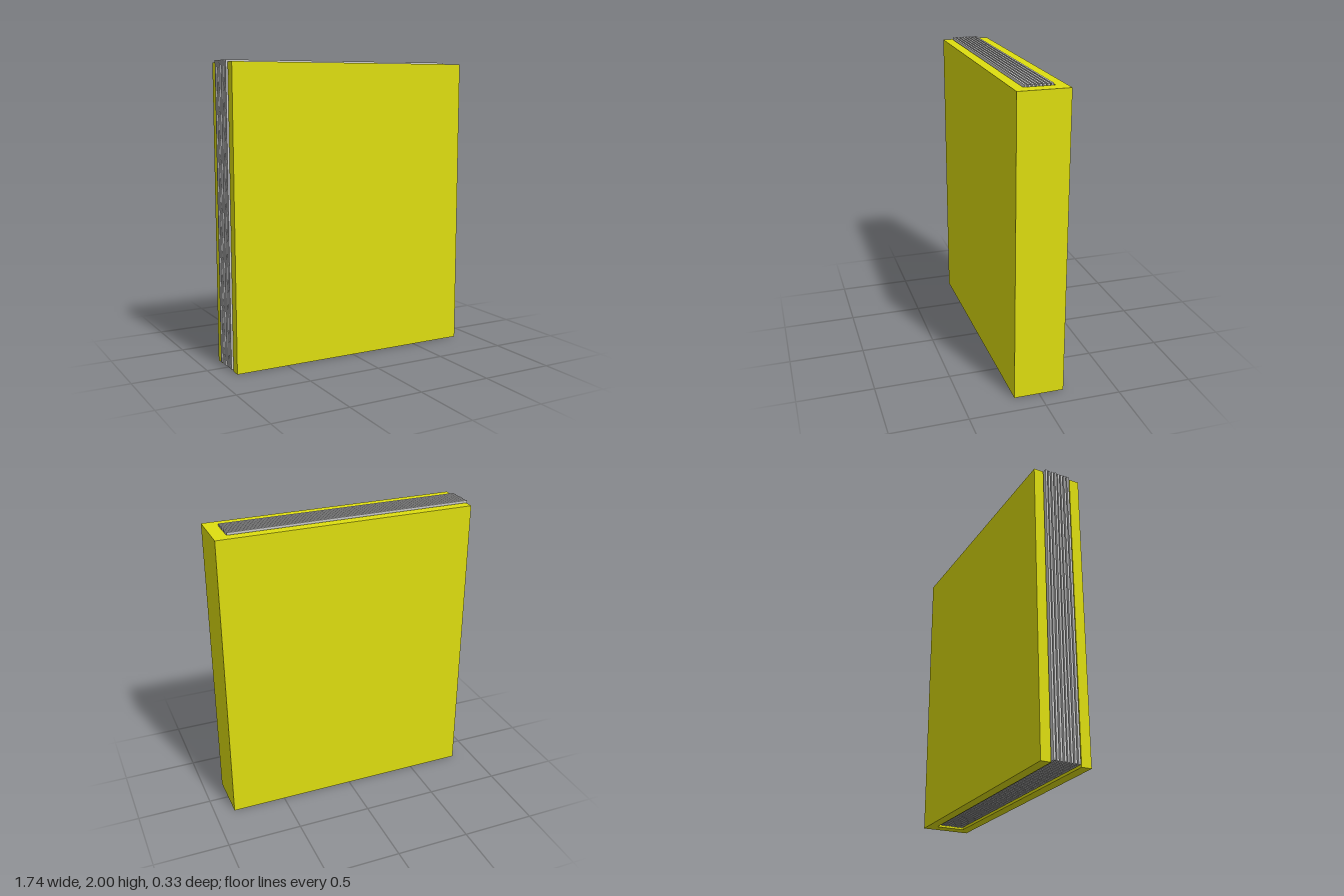
import * as THREE from 'three';

export function createModel() {
  const book = new THREE.Group();
  book.name = 'book';
  const coverMaterial = new THREE.MeshStandardMaterial({ color: 0xdede10 });
  const pageMaterial = new THREE.MeshStandardMaterial({ color: 0xcccccc });

  // Box given by its minimum and maximum corners
  function addBox(name, material, [x0, y0, z0], [x1, y1, z1]) {
    const mesh = new THREE.Mesh(new THREE.BoxGeometry(x1 - x0, y1 - y0, z1 - z0), material);
    mesh.position.set((x0 + x1) / 2, (y0 + y1) / 2, (z0 + z1) / 2);
    mesh.name = name;
    book.add(mesh);
  }

  // Thick boards joined by the spine
  const left = -0.857, right = 0.866, top = 1.988, depth = 0.166, inner = 0.099, spine = 0.777;
  addBox('frontCover', coverMaterial, [left, 0, inner], [right, top, depth]);
  addBox('backCover', coverMaterial, [left, 0, -depth], [right, top, -inner]);
  addBox('spine', coverMaterial, [spine, 0, -inner], [right, top, inner]);

  // Separate leaves, shifted up and out past the boards by slightly uneven amounts
  const shifts = [0, 0.004, 0.003, 0, 0.004, 0.006, 0.004, 0.004];
  shifts.forEach((shift, i) => {
    const z = (i - 3.5) * 0.0235;
    addBox('page' + (i + 1), pageMaterial,
      [-0.87 + shift, 0.012, z - 0.007], [0.772 + shift, 2, z + 0.007]);
  });

  return book;
}
